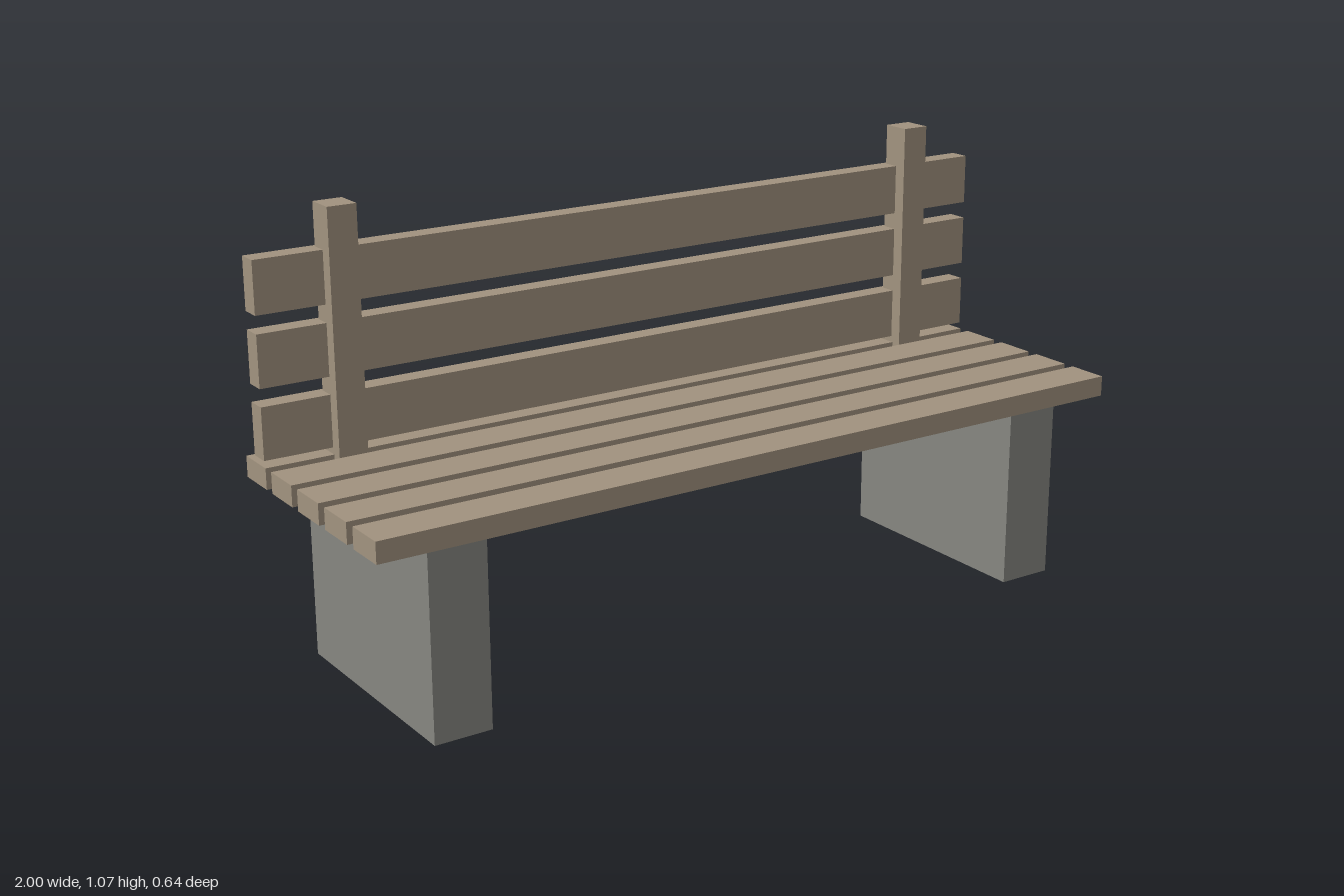
import * as THREE from 'three';

export function createModel() {
  const bench = new THREE.Group();
  bench.name = 'bench';

  const wood = new THREE.MeshStandardMaterial({ color: 0xa39480 });
  const concrete = new THREE.MeshStandardMaterial({ color: 0x888882 });

  // Box placed by its centre
  function box(name, material, [w, h, d], [x, y, z]) {
    const mesh = new THREE.Mesh(new THREE.BoxGeometry(w, h, d), material);
    mesh.name = name;
    mesh.position.set(x, y, z);
    bench.add(mesh);
  }

  // Slab legs and backrest posts, mirrored left and right
  for (const [side, sign] of [['left', 1], ['right', -1]]) {
    box(`${side}Leg`, concrete, [0.14, 0.45, 0.574], [sign * 0.8, 0.225, 0]);
    box(`${side}Post`, wood, [0.07, 0.618, 0.072], [sign * 0.8, 0.759, -0.224]);
  }

  // Five seat slats, front to back
  for (let i = 0; i < 5; i++) {
    box(`seatSlat${i + 1}`, wood, [2, 0.05, 0.104], [0, 0.475, 0.267 - i * 0.1335]);
  }

  // Three backrest slats, let into the rear of the posts
  for (let i = 0; i < 3; i++) {
    box(`backSlat${i + 1}`, wood, [2, 0.123, 0.05], [0, 0.577 + i * 0.1645, -0.245]);
  }

  return bench;
}
